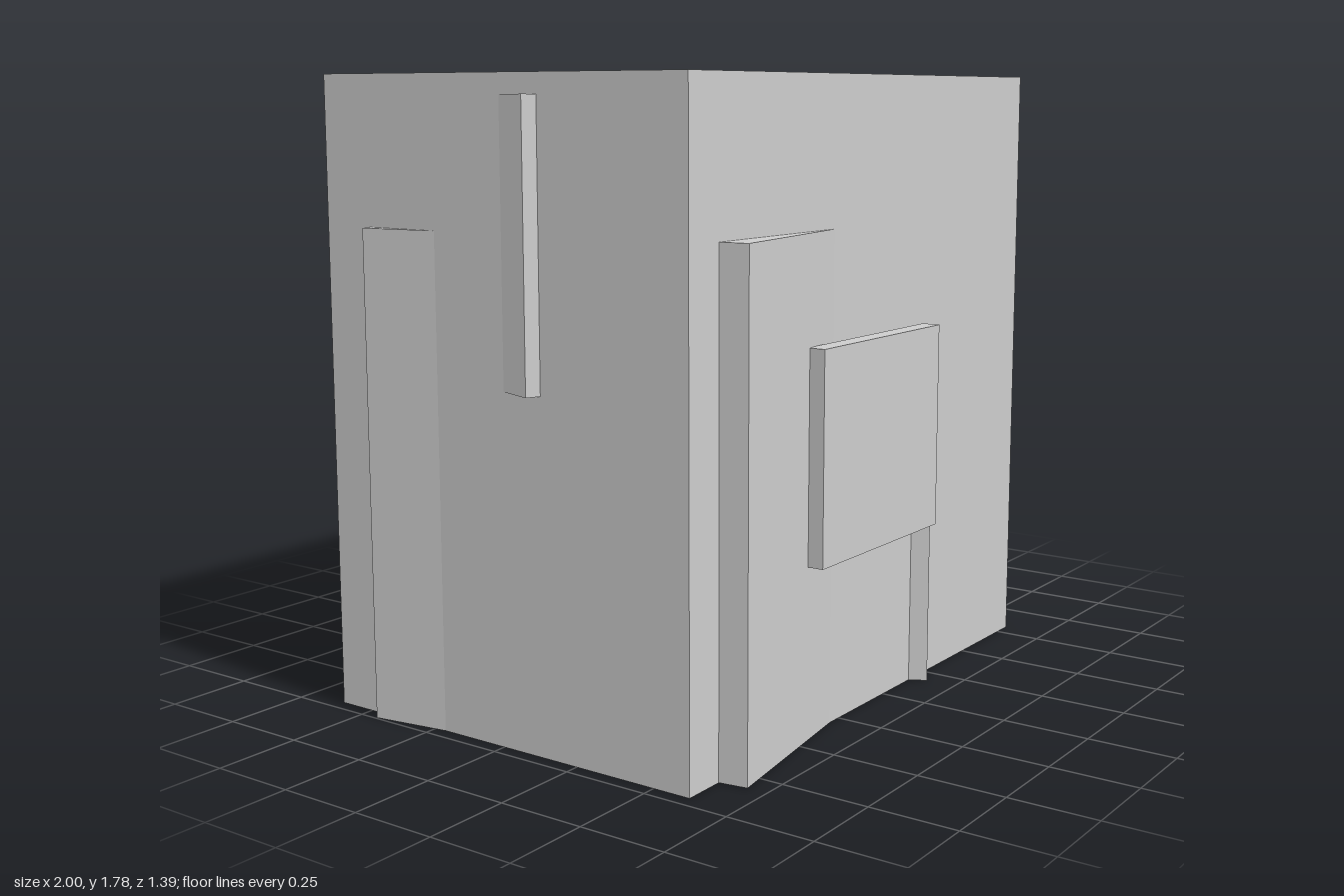
import * as THREE from 'three';

export function createModel() {
  const group = new THREE.Group();
  const grey = new THREE.MeshStandardMaterial({ color: 0xcccccc });
  grey.name = 'light grey';

  // Block placed by its front-left corner (x, z), turned about the vertical by angle
  function block(name, x, z, width, depth, bottom, top, angle = 0) {
    const geometry = new THREE.BoxGeometry(width, top - bottom, depth);
    geometry.translate(width / 2, (top - bottom) / 2, -depth / 2);
    const mesh = new THREE.Mesh(geometry, grey);
    mesh.name = name;
    mesh.position.set(x, bottom, z);
    mesh.rotation.y = angle;
    group.add(mesh);
  }

  // Upright main volume
  block('mainBlock', -0.96, 0.612, 1.772, 1.226, 0, 1.782);

  // Large block turned slightly, its four corners poking through the walls
  block('turnedBlock', -0.822, 0.692, 1.69, 1.15, 0, 1.372, 0.151);

  // Low block at the front corner
  block('lowCornerBlock', 0.18, 0.66, 0.933, 0.7, 0, 0.492, 0.497);

  // High block whose edges show on the side and the back
  block('highSideBlock', -1.0, 0.13, 0.6, 0.82, 0.965, 1.727, -0.349);

  // Panel standing just off the front wall
  block('frontPanel', -0.455, 0.682, 0.628, 0.053, 0.483, 1.072);

  return group;
}
